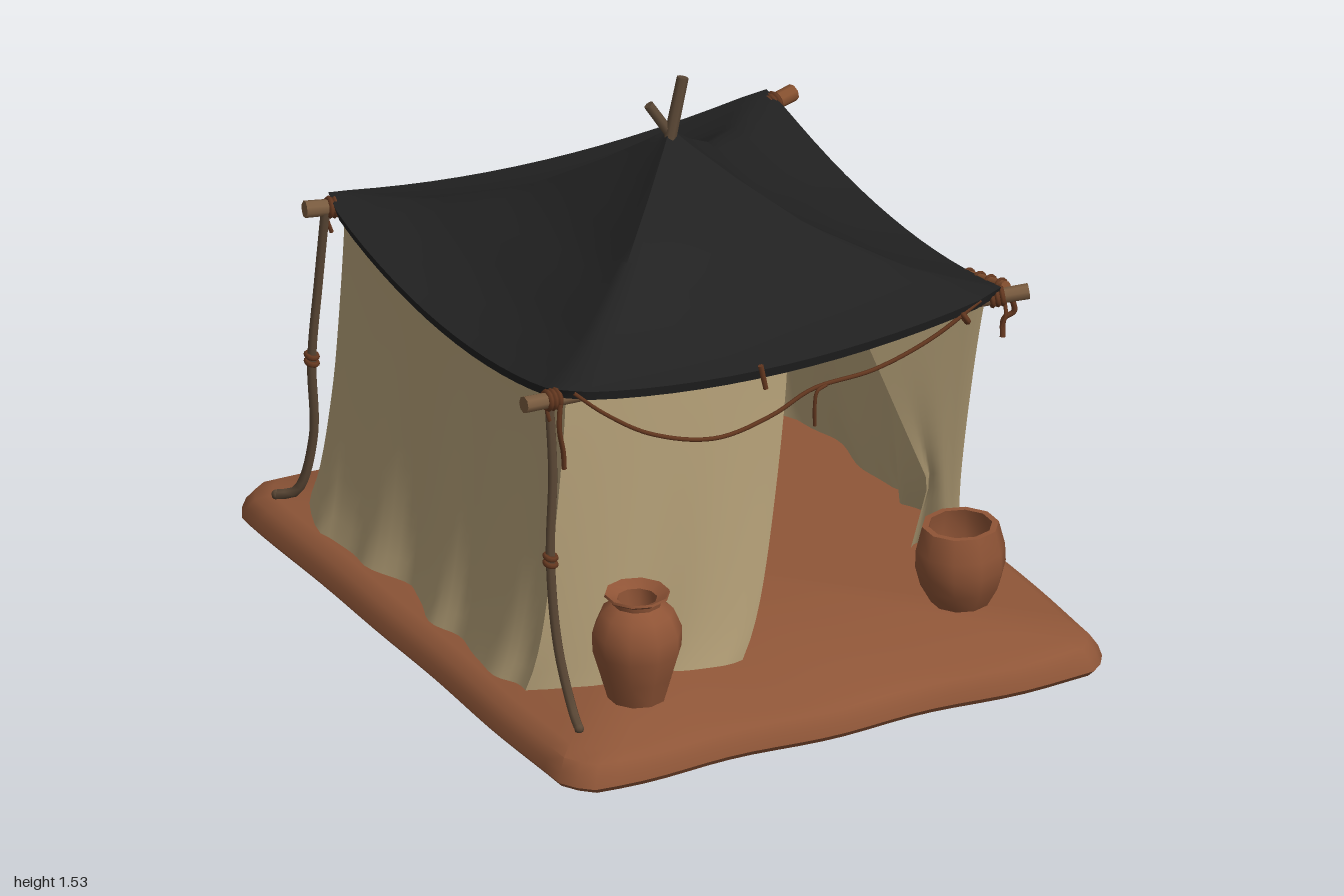
import * as THREE from 'three';
import { toCreasedNormals } from 'three/addons/utils/BufferGeometryUtils.js';

const mat = (name, color, side = THREE.FrontSide) => {
  const m = new THREE.MeshStandardMaterial({ color, side });
  m.name = name;
  return m;
};
const V = (p) => new THREE.Vector3(...p);
const mix = THREE.MathUtils.lerp;

// Piecewise linear lookup in rows [key, value, ...]
function lookup(rows, k) {
  let i = 0;
  while (i < rows.length - 2 && k > rows[i + 1][0]) i++;
  const a = rows[i], b = rows[i + 1], t = (k - a[0]) / (b[0] - a[0]);
  return a.map((v, n) => mix(v, b[n], t));
}

// Grid surface from a rule f(u, v) -> [x, y, z]; outside is du x dv
function surface(nu, nv, f, crease) {
  const pos = [], index = [];
  for (let j = 0; j <= nv; j++) for (let i = 0; i <= nu; i++) pos.push(...f(i / nu, j / nv));
  for (let j = 0; j < nv; j++) for (let i = 0; i < nu; i++) {
    const a = j * (nu + 1) + i, b = a + 1, c = b + nu + 1, d = a + nu + 1;
    index.push(a, b, c, a, c, d);
  }
  const g = new THREE.BufferGeometry();
  g.setAttribute('position', new THREE.Float32BufferAttribute(pos, 3));
  g.setIndex(index);
  return toCreasedNormals(g, crease);
}

// Point on a unit square outline, counter-clockwise from above; k runs -1..1 along the side
function square(u) {
  const side = Math.floor(u * 4) % 4, k = (u * 4 - Math.floor(u * 4)) * 2 - 1;
  const [x, z] = [[1, -k], [-k, -1], [-1, k], [k, 1]][side];
  return { x, z, k, side };
}

export function createModel() {
  const clay = mat('clay ground', 0x8f5638);
  const pottery = mat('pottery', 0x8f5436, THREE.DoubleSide);
  const cloth = mat('sand cloth', 0xb8a37a, THREE.DoubleSide);
  const black = mat('black cloth', 0x212121, THREE.DoubleSide);
  const wood = mat('pole wood', 0x5a4735);
  const logWood = mat('log wood', 0x7a5c40);
  const rope = mat('rope', 0x63371f);
  const redWood = mat('red log wood', 0x85502f);

  const model = new THREE.Group();
  model.name = 'tent';
  const add = (name, geo, material) => {
    const m = new THREE.Mesh(geo, material);
    m.name = name;
    model.add(m);
    return m;
  };
  const tube = (name, pts, r, material) =>
    add(name, new THREE.TubeGeometry(new THREE.CatmullRomCurve3(pts.map(V)), pts.length * 6, r, 6), material);
  const rod = (name, a, b, r, material) => {
    const p = V(a), q = V(b), d = q.clone().sub(p);
    const m = add(name, new THREE.CylinderGeometry(r * 0.92, r, d.length(), 8), material);
    m.position.copy(p).add(q).multiplyScalar(0.5);
    m.quaternion.setFromUnitVectors(new THREE.Vector3(0, 1, 0), d.normalize());
  };
  const coil = (name, at, axis, r, thick) => {
    const m = add(name, new THREE.TorusGeometry(r, thick, 6, 12), rope);
    m.position.set(...at);
    m.quaternion.setFromUnitVectors(new THREE.Vector3(0, 0, 1), V(axis).normalize());
    return m;
  };

  // Ground slab: rounded rings with a worn, wavy edge, closed above and below
  const rings = [[0, 0], [0.004, 0.985], [0.02, 1], [0.05, 0.99], [0.08, 0.968], [0.1, 0.925], [0.104, 0]];
  add('ground', surface(96, 6, (u, v) => {
    const [y, s] = rings[Math.round(v * 6)];
    if (s === 0) return [0, y, 0];
    const { x, z } = square(u);
    const cut = Math.max(0, Math.abs(x) + Math.abs(z) - 1.93) * 0.4;
    const wave = 0.01 * Math.sin(x * 9 + z * 2) * Math.sin(z * 7 + 1);
    const inset = (1 - s) * 0.83;
    return [
      x * (0.83 - inset) - Math.sign(x) * cut + (Math.abs(x) === 1 ? wave * 0.5 * x : 0),
      y,
      z * (0.99 - inset) - Math.sign(z) * cut + (Math.abs(z) === 1 ? wave * z : 0),
    ];
  }, 0.7), clay);

  // Roof: sagging black cloth with four soft ridges and a turned-down hem
  const ridge = [[0, 1.39], [0.05, 1.355], [0.2, 1.265], [0.42, 1.15], [0.72, 1.062], [0.9, 1.042], [1, 1.04]];
  add('roof', surface(64, 16, (u, v) => {
    const { x, z, k, side } = square(u);
    const s = Math.min(1, 1 - (v - 0.0625) / 0.9375);
    const w = v === 0 ? 0.99 : 1;
    const sag = (side % 2 ? 0.068 : 0.09) * s * (1 - k * k);
    const y = lookup(ridge, s)[1] - sag - (v === 0 ? 0.028 : 0);
    const bulge = (1 + 0.012 * (1 - k * k)) * (1 - 0.02 * Math.pow(k, 16)) * w;
    return [x * 0.68 * s * bulge, y, mix(-0.02, z * 0.69 * bulge - 0.05, s)];
  }, 1.05), black);

  // Cloth wall: [path, topX, topZ, hemX, hemZ], from the left flap round the back to the right flap
  const path = [
    [0, 0.03, 0.6, -0.12, 0.62], [0.35, -0.3, 0.6, -0.42, 0.58], [0.68, -0.64, 0.59, -0.74, 0.53],
    [1.0, -0.65, 0.25, -0.74, 0.25], [1.5, -0.655, -0.2, -0.72, -0.2], [1.95, -0.655, -0.66, -0.77, -0.6],
    [2.1, -0.61, -0.705, -0.63, -0.83], [2.7, 0, -0.71, 0, -0.85], [3.3, 0.61, -0.705, 0.54, -0.87],
    [3.45, 0.655, -0.66, 0.7, -0.62], [3.95, 0.65, -0.2, 0.72, -0.1], [4.4, 0.65, 0.3, 0.73, 0.06],
    [4.7, 0.64, 0.59, 0.75, 0.24], [5.1, 0.27, 0.6, 0.6, 0.24],
  ];
  add('clothWall', surface(150, 16, (u, t) => {
    const p = u * 5.1;
    const [, tx, tz, hx, hz] = lookup(path, p);
    // the right flap is pulled aside early
    const tied = THREE.MathUtils.smoothstep(p, 4.7, 5.1);
    const pulled = THREE.MathUtils.smoothstep(p, 4.0, 4.7);
    const flare = 0.75 * Math.pow(t, 1.3) + 0.25 * Math.pow(t, 9);
    const bx = mix(flare, Math.min(1, t / 0.72), tied);
    const bz = mix(flare, t, pulled);
    const fold = t * t * (0.018 * Math.sin(p * 16) + 0.005 * Math.sin(p * 31 + 1)) + 0.008 * t * Math.sin(p * 7);
    const len = Math.hypot(tx, tz);
    const lift = 0.035 * Math.exp(-Math.pow((p - 2.78) / 0.12, 2)) + 0.015 * Math.exp(-Math.pow((p - 3) / 0.2, 2));
    const corner = Math.pow(Math.min(Math.abs(tx), Math.abs(tz)) / 0.66, 2);
    const top = 0.95 + 0.045 * corner;
    return [mix(tx, hx, bx) + fold * tx / len, mix(top, 0.1 + lift, t), mix(tz, hz, bz) + fold * tz / len];
  }, 1.0), cloth);

  // Crooked poles on three corners, each with a knot half way up
  const poles = {
    frontRightPole: [[-0.69, 1.0, 0.59], [-0.695, 0.8, 0.62], [-0.715, 0.55, 0.645], [-0.71, 0.3, 0.68], [-0.7, 0.13, 0.75], [-0.71, 0.11, 0.8]],
    backRightPole: [[-0.69, 1.0, -0.7], [-0.7, 0.78, -0.72], [-0.715, 0.55, -0.73], [-0.7, 0.3, -0.75], [-0.73, 0.13, -0.79], [-0.77, 0.11, -0.83]],
    backLeftPole: [[0.66, 1.0, -0.7], [0.665, 0.8, -0.71], [0.685, 0.55, -0.715], [0.725, 0.3, -0.73], [0.775, 0.13, -0.74], [0.815, 0.06, -0.735]],
  };
  for (const [name, pts] of Object.entries(poles)) {
    tube(name, pts, 0.014, wood);
    add(name + 'Foot', new THREE.SphereGeometry(0.014, 8, 6), wood).position.set(...pts[5]);
    for (const dy of [-0.01, 0.01]) coil(name + 'Knot', [pts[2][0], 0.55 + dy, pts[2][2]], [0.2, 1, 0.2], 0.015, 0.008);
  }

  // Short logs out of the roof corners, bound with rope close under the cloth
  const logs = [
    [[-0.775, 1.012, 0.605], [-0.6, 1.0, 0.595], logWood, 0.024],
    [[-0.745, 1.012, -0.715], [-0.58, 1.0, -0.69], logWood, 0.024],
    [[0.745, 1.015, 0.637], [0.58, 0.995, 0.58], logWood, 0.022],
    [[0.745, 1.015, -0.72], [0.59, 1.0, -0.68], redWood, 0.024],
  ];
  for (const [a, b, m, r] of logs) {
    rod('cornerLog', a, b, r, m);
    const at = (t) => a.map((v, i) => mix(v, b[i], t));
    const dir = b.map((v, i) => v - a[i]);
    for (const t of [0.42, 0.5, 0.58]) coil('logBinding', at(t), dir, r, 0.008);
    tube('bindingTail', [at(0.4), [at(0.42)[0], 0.965, a[2]], [at(0.5)[0], 0.925, a[2]]], 0.006, rope);
  }
  rod('sideLog', [0.69, 1.03, 0.61], [0.688, 0.96, 0.36], 0.015, redWood);
  for (const t of [0.1, 0.35, 0.6, 0.85]) coil('sideLogBinding', [0.69, 1.03 - 0.07 * t, 0.61 - 0.25 * t], [0, 0.3, 1], 0.015, 0.006);

  // Crossed sticks at the peak
  rod('peakStick', [-0.015, 1.32, -0.01], [0.042, 1.53, -0.025], 0.018, wood);
  rod('peakStick', [0.02, 1.34, -0.01], [-0.052, 1.46, -0.045], 0.015, wood);

  // Hanging ropes along the front and the left side
  tube('frontRope', [[-0.64, 1.03, 0.635], [-0.55, 0.95, 0.64], [-0.4, 0.85, 0.635], [-0.2, 0.79, 0.63], [-0.03, 0.82, 0.63],
    [0.09, 0.87, 0.63], [0.28, 0.885, 0.63], [0.45, 0.94, 0.635], [0.6, 1.02, 0.635]], 0.006, rope);
  tube('frontRopeTail', [[0.13, 0.875, 0.635], [0.1, 0.865, 0.64], [0.092, 0.82, 0.64], [0.095, 0.76, 0.635]], 0.005, rope);
  rod('frontToggle', [-0.075, 0.985, 0.645], [-0.062, 0.915, 0.65], 0.008, rope);
  coil('frontKnot', [0.55, 0.98, 0.64], [1, 0.5, 0], 0.013, 0.008);
  tube('sideRope', [[0.69, 1.02, 0.6], [0.685, 0.95, 0.34], [0.68, 0.88, 0.2], [0.68, 0.865, 0], [0.68, 0.865, -0.1],
    [0.68, 0.84, -0.32], [0.68, 0.875, -0.52], [0.685, 0.94, -0.64], [0.68, 1.01, -0.7]], 0.006, rope);
  coil('sideLoop', [0.69, 0.85, -0.115], [1, 0, 0], 0.035, 0.005).scale.set(1.4, 0.95, 1);
  tube('cornerTail', [[0.7, 1.01, 0.61], [0.715, 0.95, 0.61], [0.69, 0.93, 0.6], [0.68, 0.88, 0.61]], 0.008, rope);
  tube('cornerTail', [[-0.67, 1.02, 0.62], [-0.68, 0.93, 0.63], [-0.665, 0.85, 0.625], [-0.66, 0.8, 0.62]], 0.007, rope);

  // Clay vessels: outer wall, rim and inside in one profile
  const vessel = (name, profile, x, z) => {
    const g = new THREE.LatheGeometry(profile.map(([r, y]) => new THREE.Vector2(r, y)), 10);
    add(name, toCreasedNormals(g, 0.75), pottery).position.set(x, 0.1, z);
  };
  vessel('tallJar', [[0, 0], [0.08, 0], [0.1, 0.07], [0.122, 0.145], [0.123, 0.2], [0.1, 0.255], [0.068, 0.28],
    [0.07, 0.292], [0.09, 0.305], [0.088, 0.312], [0.055, 0.295], [0.05, 0.24], [0, 0.2]], -0.47, 0.68);
  vessel('roundPot', [[0, 0], [0.08, 0], [0.11, 0.055], [0.124, 0.11], [0.122, 0.16], [0.105, 0.228],
    [0.087, 0.228], [0.1, 0.15], [0.08, 0.05], [0, 0.04]], 0.57, 0.575);

  return model;
}
